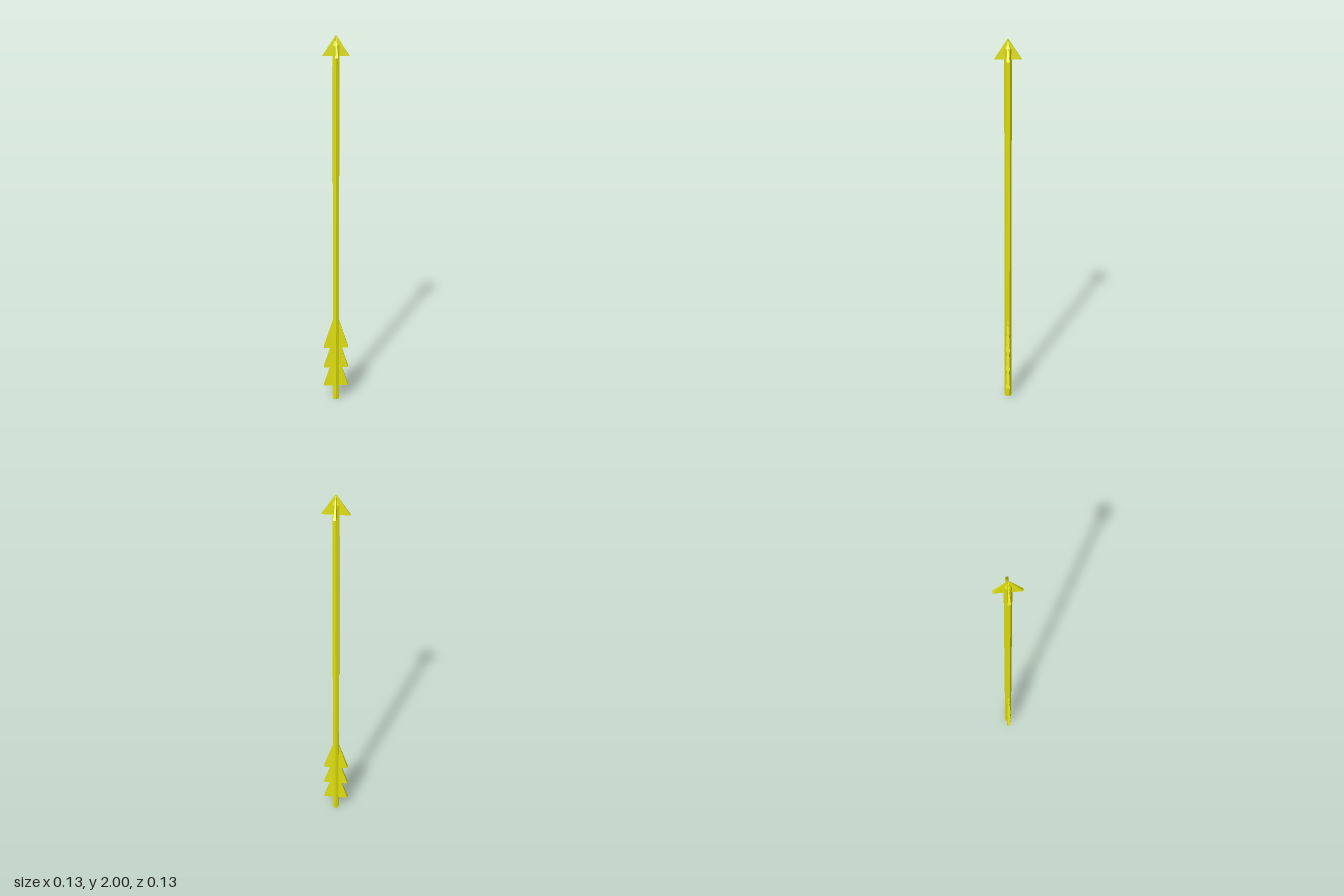
import * as THREE from 'three';

export function createModel() {
  const model = new THREE.Group();
  model.name = 'arrow';

  const yellow = new THREE.MeshStandardMaterial({ color: 0xdede10, flatShading: true });
  yellow.name = 'yellow';

  const add = (name, geometry, y) => {
    const mesh = new THREE.Mesh(geometry, yellow);
    mesh.name = name;
    mesh.position.y = y;
    model.add(mesh);
    return mesh;
  };

  // Thin four-sided pyramid standing on its base
  const blade = (halfWidth, halfDepth, height) =>
    new THREE.ConeGeometry(Math.SQRT2, height, 4)
      .rotateY(Math.PI / 4)
      .translate(0, height / 2, 0)
      .scale(halfWidth, 1, halfDepth);

  // Hexagonal shaft with a short pointed end
  const r = 0.0185, shaftTop = 1.95;
  add('shaft', new THREE.CylinderGeometry(r, r, shaftTop, 6), shaftTop / 2);
  add('shaftPoint', new THREE.ConeGeometry(r, 0.03, 6), shaftTop + 0.015);

  // Arrowhead: two crossed blades
  add('headBladeWide', blade(0.066, 0.007, 0.1), 1.9);
  add('headBladeDeep', blade(0.007, 0.066, 0.1), 1.9);

  // Three stacked tail fins
  [0.085, 0.2, 0.32].forEach((y, i) => {
    add(`tailFin${i + 1}`, blade(0.066, 0.0105, 0.22), y);
  });

  return model;
}
